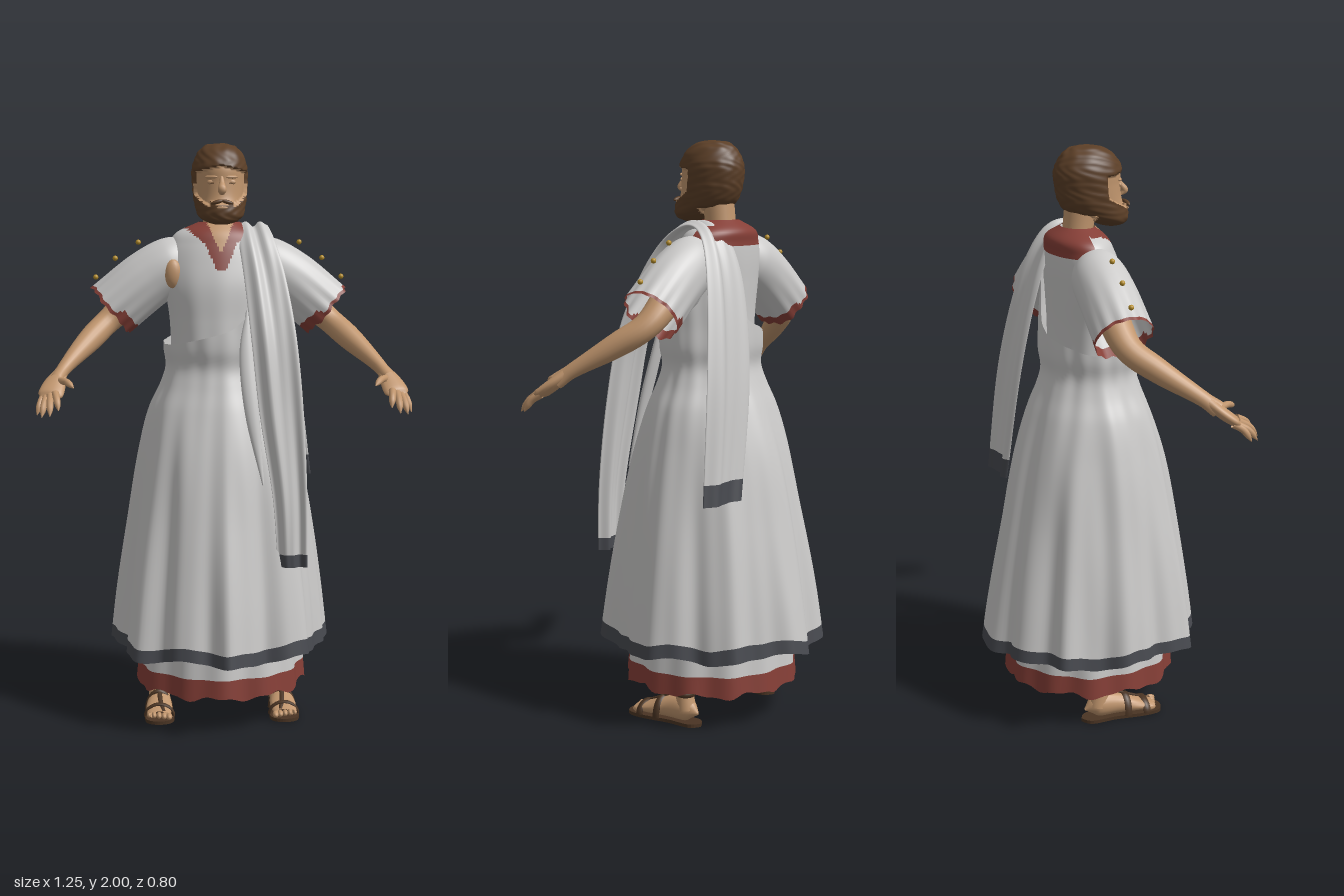
import * as THREE from 'three';

const mat = (name, color, side = THREE.FrontSide) => {
  const m = new THREE.MeshStandardMaterial({ color, side });
  m.name = name;
  return m;
};
const { sin, cos, abs, max, min, exp, PI } = Math;

export function createModel() {
  const D = THREE.DoubleSide;
  const cloth = mat('white cloth', 0xcbcac9, D), trim = mat('dark trim', 0x484a50, D);
  const red = mat('red border', 0x863f37, D), skin = mat('skin', 0xc0956d, D);
  const hair = mat('brown hair', 0x5c3f27), leather = mat('sandal leather', 0x4a3423);
  const gold = mat('gold', 0xb58d2a);
  const root = new THREE.Group();

  // smooth table lookup: first entry of each row is the key
  const table = (rows) => {
    const n = rows[0].length - 1;
    const f = new THREE.CubicInterpolant(rows.map(r => r[0]), rows.flatMap(r => r.slice(1)), n, new Array(n));
    return k => [...f.evaluate(min(max(k, rows[0][0]), rows[rows.length - 1][0]))];
  };
  const indexed = rows => table(rows.map((r, i) => [i / (rows.length - 1), ...r]));

  // closed rings stacked along v; pick chooses a material per quad
  function loft(name, cols, rows, fn, mats, pick = () => 0) {
    const pos = [], buckets = mats.map(() => []);
    for (let i = 0; i <= rows; i++)
      for (let j = 0; j < cols; j++) pos.push(...fn(j / cols * 2 * PI, i / rows));
    for (let i = 0; i < rows; i++)
      for (let j = 0; j < cols; j++) {
        const a = i * cols + j, b = i * cols + (j + 1) % cols, c = b + cols, d = a + cols;
        const mid = [0, 1, 2].map(k => (pos[a * 3 + k] + pos[b * 3 + k] + pos[c * 3 + k] + pos[d * 3 + k]) / 4);
        buckets[pick(...mid, (i + 0.5) / rows)].push(a, b, d, b, c, d);
      }
    const g = new THREE.BufferGeometry();
    g.setAttribute('position', new THREE.Float32BufferAttribute(pos, 3));
    g.setIndex(buckets.flat());
    let start = 0;
    buckets.forEach((b, k) => { g.addGroup(start, b.length, k); start += b.length; });
    g.computeVertexNormals();
    const mesh = new THREE.Mesh(g, mats.length > 1 ? mats : mats[0]);
    mesh.name = name;
    root.add(mesh);
  }

  // tapered tube: pts [x, y, z], radii [across, along ref]
  function limb(name, pts, radii, cols, rows, mats, { ref = [0, 0, 1], pick, wave = () => 0 } = {}) {
    const curve = new THREE.CatmullRomCurve3(pts.map(p => new THREE.Vector3(...p)));
    const rad = indexed(radii), R = new THREE.Vector3(...ref);
    loft(name, cols, rows, (t, v) => {
      const T = curve.getTangent(v), P = R.clone().addScaledVector(T, -R.dot(T)).normalize();
      const Q = T.clone().cross(P), [a, b] = rad(v), w = wave(t, v);
      return curve.getPoint(v).addScaledVector(P, max(b, 0.001) * (1 + w) * cos(t))
        .addScaledVector(Q, max(a, 0.001) * (1 + w) * sin(t)).addScaledVector(T, w * 0.12).toArray();
    }, mats, pick);
  }

  function blob(name, m, p, s) {
    const mesh = new THREE.Mesh(new THREE.SphereGeometry(1, 16, 12), m);
    mesh.name = name;
    mesh.position.set(...p);
    mesh.scale.set(...s);
    root.add(mesh);
    return mesh;
  }

  // tunic top with red neckline: y, half width, half depth, centre z
  const body = table([[1.1, .185, .155, 0], [1.25, .168, .138, 0], [1.4, .172, .13, -.005], [1.52, .188, .127, -.012],
    [1.6, .188, .118, -.024], [1.66, .172, .107, -.034], [1.7, .145, .096, -.042], [1.735, .07, .057, -.038]]);
  loft('tunicTop', 160, 110, (t, v) => {
    const y = 1.1 + .635 * v, [rx, rz, cz] = body(y), f = 1 + .015 * cos(12 * t) * (1 - v);
    return [rx * f * sin(t), y, cz + rz * f * cos(t)];
  }, [cloth, red, skin], (x, y, z) => {
    if (z > -.03 && abs(x) < (y - 1.63) * .45) return 2;
    if (z > -.04 && y > 1.575 && abs(x) < .018 + (y - 1.575) * .4 + max(0, y - 1.66) * .8) return 1;
    return y > 1.65 && z < -.045 || y > 1.715 ? 1 : 0;
  });

  // lower tunic with red hem
  loft('lowerTunic', 120, 36, (t, v) => {
    const r = .297 - .04 * v, f = 1 + .022 * cos(13 * t) + .015 * cos(7 * t + 1);
    const wave = (.008 * cos(9 * t + 1) + .004 * sin(20 * t)) * max(0, 1 - 7 * v);
    return [r * f * sin(t), .123 + wave + .48 * v, r * 1.02 * f * cos(t)];
  }, [cloth, red], (x, y, z, v) => v < .139 ? 1 : 0);

  // toga skirt: y, half width, half depth; then hem outline as degrees, radius
  const skirt = table([[.24, .383, .383], [.45, .36, .354], [.7, .324, .31], [.95, .28, .258], [1.1, .242, .21],
    [1.18, .205, .178], [1.24, .188, .16], [1.3, .196, .168], [1.38, .195, .166], [1.46, .197, .16], [1.6, .19, .145]]);
  const hemline = table([[-10, .365], [0, .4], [23, .352], [41, .402], [60, .355], [80, .372], [98, .388], [120, .345],
    [137, .38], [155, .357], [180, .402], [196, .368], [211, .405], [222, .37], [235, .4], [251, .355], [270, .388],
    [290, .36], [310, .403], [324, .36], [335, .388], [350, .365], [360, .4]]);
  loft('togaSkirt', 200, 75, (t, v) => {
    const hem = .262 + .009 * cos(6 * t + 2) + .006 * sin(11 * t);
    // the upper edge climbs toward the left shoulder, front and back
    const climb = .13 * exp(-(((t - .8) / .33) ** 2)) + .17 * exp(-(((t - 2.5) / .35) ** 2));
    const top = 1.375 + .055 * sin(t) - .012 * cos(t) + climb;
    const y = hem + (top - hem) * v, [rx, rz] = skirt(y), k = 1 - v;
    const f = 1 + k * ((hemline(t * 180 / PI)[0] / .383 - 1) * 1.1 + .012 * cos(23 * t))
      + v * (.014 * sin(7 * t + 9 * v) + .008 * cos(17 * t + 5 * v));
    return [rx * f * sin(t), y, rz * f * cos(t)];
  }, [cloth, trim], (x, y, z, v) => v < .04 ? 1 : 0);

  // toga end over the left shoulder: y, z, centre x, half width
  const path = indexed([[.58, .28, .23, .05], [.82, .272, .22, .058], [1.1, .245, .193, .074], [1.35, .205, .17, .076],
    [1.55, .13, .145, .07], [1.67, .055, .123, .062], [1.718, -.03, .113, .056], [1.67, -.105, .118, .07],
    [1.5, -.168, .142, .095], [1.2, -.218, .192, .108], [.81, -.243, .258, .094]]);
  loft('shoulderDrape', 56, 110, (t, v) => {
    const [y, z, cx, w] = path(v), p = path(max(0, v - .01)), q = path(min(1, v + .01));
    const dy = q[0] - p[0], dz = q[1] - p[1], l = Math.hypot(dy, dz), s = sin(t);
    const n = .012 * cos(t) + .008 * cos(5 * s + 1 + 3 * v) + .004 * sin(9 * s - 4 * v);
    return [cx + w * s, y - n * dz / l, z + n * dy / l];
  }, [cloth, trim], (x, y, z, v) => v < .0185 || v > .982 ? 1 : 0);
  limb('hangingFold', [[.085, 1.44, .14], [.08, 1.3, .175], [.095, 1.1, .225], [.13, .86, .27]],
    [[.004, .004], [.024, .012], [.024, .014], [.003, .004]], 16, 30, [cloth]);

  for (const s of [1, -1]) {
    const side = s > 0 ? 'left' : 'right', m = p => p.map(([x, y, z]) => [s * x, y, z]);
    // sleeve with red scalloped edge and gold buttons
    limb(side + 'Sleeve', m([[.1, 1.622, -.035], [.16, 1.592, -.035], [.25, 1.535, -.035], [.377, 1.43, -.035]]),
      [[.07, .06], [.095, .09], [.102, .097], [.102, .098]], 72, 40, [cloth, red],
      { pick: (x, y, z, v) => v > (y < 1.43 ? .92 : .965) ? 1 : 0,
        wave: (t, v) => v ** 4 * (.025 * cos(13 * t) + .02 * sin(5 * t)) });
    [[.28, 1.665], [.36, 1.61], [.428, 1.545]].forEach(([x, y]) =>
      blob(side + 'Button', gold, [s * x, y, -.035], [.009, .009, .009]));
    blob(side + 'Underarm', skin, [s * .163, 1.56, .05], [.03, .05, .022]);

    // arm, palm and fingers
    limb(side + 'Arm', m([[.16, 1.6, -.04], [.3, 1.47, -.035], [.385, 1.395, -.02], [.45, 1.335, .05],
      [.535, 1.25, .17], [.56, 1.215, .215]]),
      [[.055, .055], [.052, .054], [.043, .047], [.041, .041], [.024, .027], [.024, .03]], 20, 30, [skin]);
    limb(side + 'Palm', m([[.545, 1.24, .185], [.565, 1.205, .225], [.578, 1.175, .265], [.583, 1.165, .28]]),
      [[.02, .022], [.02, .038], [.017, .043], [.004, .03]], 18, 14, [skin], { ref: [s * 1, .2, -.4] });
    [[.6, 1.172, .25, .622, 1.112, .308], [.592, 1.168, .265, .605, 1.108, .338],
      [.578, 1.172, .278, .578, 1.113, .352], [.562, 1.18, .28, .55, 1.13, .344],
      [.548, 1.215, .225, .5, 1.2, .307]].forEach(([x, y, z, X, Y, Z], i) =>
      limb(side + (i < 4 ? 'Finger' : 'Thumb'), m([[x, y, z], [(x + X) / 2, (y + Y) / 2 + .008, (z + Z) / 2 + .004], [X, Y, Z]]),
        [[.013, .013], [.012, .012], [.0115, .0115], [.01, .01], [.001, .001]], 10, 14, [skin]));

    // leg, foot and sandal
    limb(side + 'Leg', m([[.218, .05, -.055], [.216, .13, -.045], [.2, .3, -.045], [.17, .5, -.02], [.12, .9, 0]]),
      [[.034, .036], [.03, .032], [.043, .046], [.046, .05], [.07, .07]], 20, 30, [skin]);
    limb(side + 'Foot', m([[.216, .042, -.105], [.216, .052, -.06], [.217, .047, .02], [.22, .034, .09], [.222, .024, .15]]),
      [[.004, .004], [.034, .042], [.038, .038], [.046, .024], [.04, .013]], 20, 24, [skin], { ref: [0, 1, 0] });
    for (let i = 0; i < 5; i++)
      blob(side + 'Toe', skin, [s * (.187 + i * .0175), .022, .162 - i * .007], [.0105 - i * .0007, .011, .02]);
    const outline = new THREE.Shape().setFromPoints(new THREE.SplineCurve([[0, .12], [.034, .09], [.036, 0], [.052, -.1],
      [.044, -.165], [0, -.186], [-.044, -.165], [-.05, -.1], [-.036, 0], [-.034, .09], [0, .12]]
      .map(p => new THREE.Vector2(...p))).getPoints(48));
    const sole = new THREE.Mesh(new THREE.ExtrudeGeometry(outline, { depth: .012, bevelEnabled: false }), leather);
    sole.name = side + 'Sole';
    sole.rotation.x = -PI / 2;
    sole.position.x = s * .22;
    root.add(sole);
    [[.115, .05, .042], [.045, .045, .068]].forEach(([z, w, h]) => {
      const strap = new THREE.Mesh(new THREE.TorusGeometry(1, .11, 6, 24, PI), leather);
      strap.name = side + 'Strap';
      strap.position.set(s * .22, .01, z);
      strap.scale.set(w, h, .13);
      root.add(strap);
    });
    limb(side + 'InstepStrap', m([[.205, .035, .15], [.215, .056, .1], [.218, .082, .04], [.217, .105, -.01]]),
      [[.006, .004], [.008, .005], [.008, .005], [.006, .004]], 8, 14, [leather], { ref: [0, 1, 0] });
    const ankle = new THREE.Mesh(new THREE.TorusGeometry(.035, .007, 8, 28), leather);
    ankle.name = side + 'AnkleStrap';
    ankle.rotation.x = PI / 2 - .12;
    ankle.position.set(s * .216, .113, -.045);
    ankle.scale.z = 1.8;
    root.add(ankle);
  }

  // neck and head: y, half width, front z, back z
  limb('neck', [[0, 1.62, -.045], [0, 1.7, -.04], [0, 1.82, -.025]], [[.075, .06], [.056, .052], [.056, .055]], 24, 12, [skin]);
  const skull = table([[1.728, .014, .105, .07], [1.738, .042, .122, .04], [1.755, .064, .13, 0], [1.785, .076, .13, -.068],
    [1.82, .082, .118, -.094], [1.87, .085, .112, -.107], [1.92, .085, .109, -.109], [1.96, .07, .086, -.09],
    [1.98, .048, .055, -.065], [1.99, .02, .02, -.03], [1.992, .001, .001, -.005]]);
  const hairy = (x, y, z) => {
    if (z < .005 && y < 1.775) return false;
    const cheek = 1.8 + (.1 - z) * .5 + (abs(x) < .036 && z > .08 ? .012 : 0);
    return !(z > .036 && y > cheek && y < 1.925 - abs(x) * .25);
  };
  loft('head', 96, 76, (t, v) => {
    const y = 1.728 + .264 * (1 - cos(PI * v)) / 2, [rx, zf, zb] = skull(y);
    const cz = (zf + zb) / 2, x = rx * sin(t), z = cz + (zf - zb) / 2 * cos(t);
    // hair stands off the skull in small curls
    const r = hairy(x, y, z) ? .01 + .0016 * sin(150 * x + 2 * sin(90 * y)) * sin(140 * y + 60 * z) : 0;
    const lift = r * min(1, max(0, (y - 1.95) / .04)), out = r * min(1, rx / .03);
    return [x + out * sin(t), y + lift, z + out * cos(t)];
  }, [skin, hair], (x, y, z) => hairy(x * .93, y, z) ? 1 : 0);

  // facial features
  limb('nose', [[0, 1.888, .106], [0, 1.865, .119], [0, 1.844, .134], [0, 1.83, .12]],
    [[.006, .006], [.01, .01], [.015, .012], [.008, .004]], 14, 16, [skin]);
  blob('lowerLip', skin, [0, 1.785, .141], [.019, .005, .005]);
  for (const s of [1, -1]) {
    blob('browRidge', skin, [s * .034, 1.887, .1], [.024, .006, .008]).rotation.y = s * .4;
    blob('eyelid', skin, [s * .033, 1.87, .097], [.016, .009, .008]);
    blob('eyeLine', hair, [s * .033, 1.867, .103], [.011, .0015, .003]).rotation.y = s * .4;
    blob('moustache', hair, [s * .017, 1.804, .136], [.022, .007, .008]).rotation.z = -s * .25;
  }
  return root;
}
